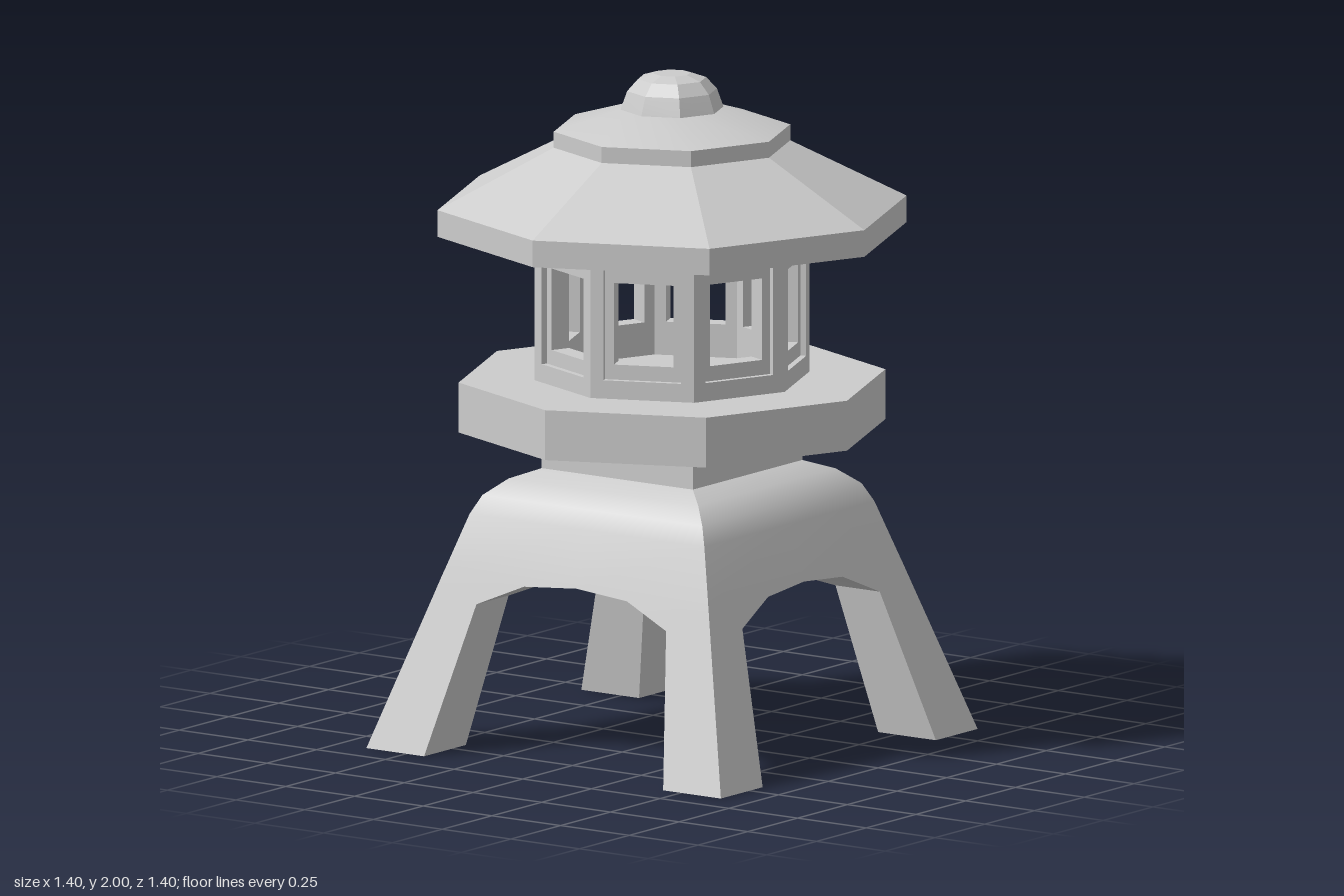
import * as THREE from 'three';
import { mergeGeometries, toCreasedNormals } from 'three/addons/utils/BufferGeometryUtils.js';

const material = new THREE.MeshStandardMaterial({ color: 0xcccccc });

function part(name, geometry) {
  const mesh = new THREE.Mesh(geometry, material);
  mesh.name = name;
  return mesh;
}

// Eight-sided turned stone with corners on the axes; profile runs bottom to top
function octagon(name, profile, crease = 0.1) {
  const points = profile.map(([r, y]) => new THREE.Vector2(r, y));
  return part(name, toCreasedNormals(new THREE.LatheGeometry(points, 8), crease));
}

// Four-legged base: each corner is a stack of squares reaching from inner to outer
function baseGeometry() {
  // [height, inner half-width of the arch, outer half-width]
  const rings = [
    [0, 0.435, 0.645], [0.445, 0.345, 0.506], [0.513, 0.187, 0.485], [0.528, 0, 0.48],
    [0.695, 0, 0.427], [0.75, 0, 0.4], [0.797, 0, 0.345], [0.825, 0, 0.275],
  ];
  const positions = [];
  const quad = (a, b, c, d) => positions.push(...a, ...b, ...c, ...a, ...c, ...d);

  for (let i = 0; i < rings.length - 1; i++) {
    const [y0, a0, o0] = rings[i];
    const [y1, a1, o1] = rings[i + 1];
    // outer faces
    quad([o0, y0, o0], [o0, y0, a0], [o1, y1, a1], [o1, y1, o1]);
    quad([a0, y0, o0], [o0, y0, o0], [o1, y1, o1], [a1, y1, o1]);
    // inner faces, up to the crown of the arches
    if (a0 > 0) {
      quad([a0, y0, a0], [a0, y0, o0], [a1, y1, o1], [a1, y1, a1]);
      quad([o0, y0, a0], [a0, y0, a0], [a1, y1, a1], [o1, y1, a1]);
    }
  }
  // sole of the foot
  const [, a, o] = rings[0];
  quad([a, 0, a], [o, 0, a], [o, 0, o], [a, 0, o]);

  const corner = new THREE.BufferGeometry();
  corner.setAttribute('position', new THREE.Float32BufferAttribute(positions, 3));
  const corners = [0, 1, 2, 3].map((k) => corner.clone().rotateY((k * Math.PI) / 2));
  return toCreasedNormals(mergeGeometries(corners), 0.5);
}

const APOTHEM = 0.41 * Math.cos(Math.PI / 8);
const WALL_BOTTOM = 1.09, WALL_TOP = 1.53;

function rectangle(target, halfWidth, bottom, top) {
  target.moveTo(-halfWidth, bottom);
  target.lineTo(halfWidth, bottom);
  target.lineTo(halfWidth, top);
  target.lineTo(-halfWidth, top);
  target.closePath();
  return target;
}

// One layer of a wall panel with a window hole, mitred to meet its neighbours
function panelLayer(front, depth, holeHalf, holeBottom, holeTop) {
  const shape = rectangle(new THREE.Shape(), APOTHEM * Math.tan(Math.PI / 8), WALL_BOTTOM, WALL_TOP);
  shape.holes.push(rectangle(new THREE.Path(), holeHalf, holeBottom, holeTop));
  const geometry = new THREE.ExtrudeGeometry(shape, { depth, bevelEnabled: false });
  geometry.translate(0, 0, front - depth);
  const p = geometry.attributes.position;
  for (let i = 0; i < p.count; i++) {
    if (Math.abs(p.getX(i)) > 0.15) p.setX(i, Math.sign(p.getX(i)) * p.getZ(i) * Math.tan(Math.PI / 8));
  }
  geometry.computeVertexNormals();
  return geometry;
}

function lightChamber() {
  const chamber = new THREE.Group();
  chamber.name = 'lightChamber';
  const recess = 0.018;
  const frame = panelLayer(APOTHEM, recess, 0.117, 1.145, 1.475);
  const window = panelLayer(APOTHEM - recess, 0.06, 0.09, 1.19, 1.435);
  const panel = mergeGeometries([frame, window]);
  for (let k = 0; k < 8; k++) {
    const wall = part('windowPanel', panel);
    wall.rotation.y = ((k + 0.5) * Math.PI) / 4;
    chamber.add(wall);
  }
  return chamber;
}

export function createModel() {
  const model = new THREE.Group();
  model.name = 'stoneLantern';

  model.add(part('leggedBase', baseGeometry()));

  const neck = part('neck', new THREE.BoxGeometry(0.55, 0.125, 0.55));
  neck.position.y = 0.8825;
  model.add(neck);

  model.add(octagon('platform', [[0, 0.94], [0.637, 0.94], [0.637, 1.09], [0, 1.09]]));
  model.add(lightChamber());

  model.add(octagon('roof', [[0, 1.53], [0.7, 1.53], [0.7, 1.61], [0.353, 1.787], [0, 1.787]]));
  model.add(octagon('roofCap', [[0.353, 1.785], [0.353, 1.835], [0.13, 1.902], [0, 1.902]], 0.5));
  model.add(octagon('finial', [[0.155, 1.89], [0.152, 1.9], [0.134, 1.95], [0.102, 1.985], [0.055, 2], [0, 2]]));

  return model;
}
